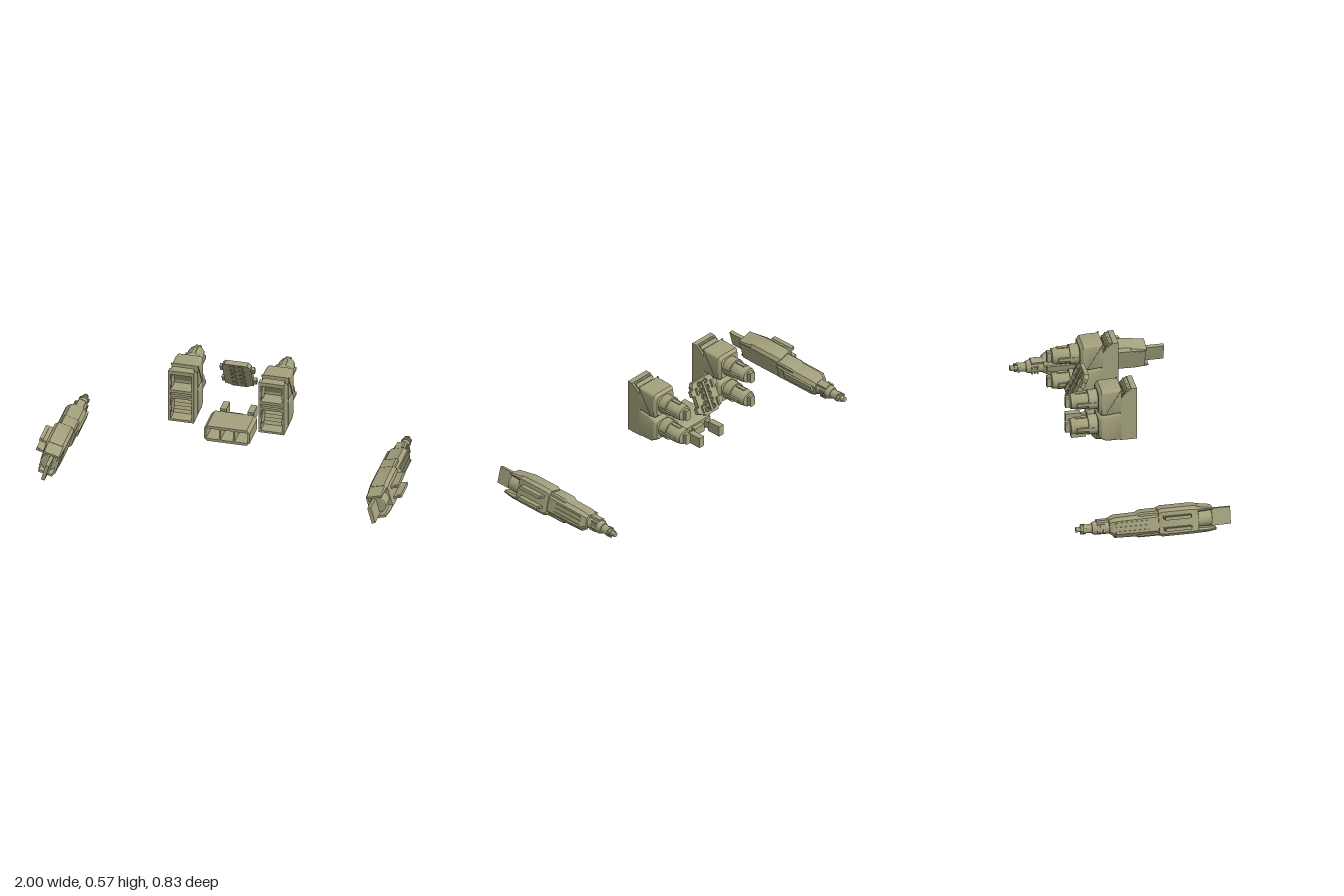
import * as THREE from 'three';
import { toCreasedNormals } from 'three/addons/utils/BufferGeometryUtils.js';

const khaki = new THREE.MeshStandardMaterial({ color: 0xa3a17c });
khaki.name = 'khaki';

function add(parent, name, geo, x = 0, y = 0, z = 0) {
  const m = new THREE.Mesh(geo, khaki);
  m.name = name;
  m.position.set(x, y, z);
  parent.add(m);
  return m;
}
function group(parent, name, x = 0, y = 0, z = 0) {
  const g = new THREE.Group();
  g.name = name;
  g.position.set(x, y, z);
  parent.add(g);
  return g;
}
const box = (w, h, d) => new THREE.BoxGeometry(w, h, d);

// Solid through rounded rectangles; rows run front to back: [z, x0, x1, y0, y1, corner]
function loft(rows, seg = 1) {
  const rings = rows.map(([z, xa, xb, y0, y1, c]) => {
    const x0 = Math.min(xa, xb), x1 = Math.max(xa, xb), ring = [];
    [[x1 - c, y0 + c, -90], [x1 - c, y1 - c, 0], [x0 + c, y1 - c, 90], [x0 + c, y0 + c, 180]].forEach(([cx, cy, a]) => {
      for (let i = 0; i <= seg; i++) {
        const t = (a + 90 * i / seg) * Math.PI / 180;
        ring.push([cx + c * Math.cos(t), cy + c * Math.sin(t), z]);
      }
    });
    ring.mid = [(x0 + x1) / 2, (y0 + y1) / 2, z];
    return ring;
  });
  const p = [], n = rings[0].length, last = rings[rings.length - 1];
  for (let j = 0; j < n; j++) {
    const k = (j + 1) % n;
    p.push(...rings[0].mid, ...rings[0][j], ...rings[0][k], ...last.mid, ...last[k], ...last[j]);
    for (let i = 0; i + 1 < rings.length; i++) {
      const a = rings[i], b = rings[i + 1];
      p.push(...a[j], ...b[j], ...b[k], ...a[j], ...b[k], ...a[k]);
    }
  }
  const g = new THREE.BufferGeometry();
  g.setAttribute('position', new THREE.Float32BufferAttribute(p, 3));
  return toCreasedNormals(g, 0.6);
}

// Round part along -z from [z, radius] points, closed at both ends
function turned(points, sides = 24) {
  const pts = [[points[0][0], 0], ...points, [points[points.length - 1][0], 0]];
  const g = new THREE.LatheGeometry(pts.map(([z, r]) => new THREE.Vector2(r, -z)), sides);
  g.rotateX(-Math.PI / 2);
  return toCreasedNormals(g, 0.5);
}

// Outline extruded along z, from z0 to z0 + depth
function slab(outline, holes, z0, depth) {
  const s = new THREE.Shape(outline.map(([x, y]) => new THREE.Vector2(x, y)));
  s.holes = holes;
  const g = new THREE.ExtrudeGeometry(s, { depth, bevelEnabled: false, curveSegments: 12 });
  g.translate(0, 0, z0);
  return g;
}
const rectPath = (x0, x1, y0, y1) => new THREE.Path([[x0, y0], [x0, y1], [x1, y1], [x1, y0]].map(([x, y]) => new THREE.Vector2(x, y)));

function thruster(parent, y) {
  const g = group(parent, 'thruster', 0, y, 0);
  add(g, 'nozzle', turned([[-0.16, 0.054], [-0.225, 0.054], [-0.226, 0.046], [-0.29, 0.046], [-0.297, 0.043], [-0.318, 0.041], [-0.322, 0.034]]));
  add(g, 'nozzleTip', loft([[-0.315, -0.018, 0.018, -0.031, 0.031, 0.006], [-0.345, -0.018, 0.018, -0.031, 0.031, 0.006]]));
  for (const s of [-1, 1]) {
    add(g, 'nozzleRail', box(0.014, 0.018, 0.105), s * 0.049, -0.002, -0.237);
    add(g, 'nozzleRib', box(0.02, 0.01, 0.06), 0, s * 0.045, -0.26);
  }
}

function pod(parent, s) {
  const g = group(parent, 'thrusterPod', s * 0.247, 0, 0);
  // Side walls
  const wall = [[-0.03, 0.266], [0.06, 0.266], [0.06, 0.51], [0.035, 0.545], [0.0, 0.572], [-0.03, 0.572]];
  for (const k of [-1, 1]) {
    const geo = slab(wall, [], -0.006, 0.012);
    geo.rotateY(Math.PI / 2);
    add(g, 'sideWall', geo, k * 0.064, 0, 0);
    for (const y of [0.34, 0.495]) {
      const disc = add(g, 'wallDisc', new THREE.CylinderGeometry(0.038, 0.038, 0.006, 24), k * 0.057, y, -0.012);
      disc.rotation.z = Math.PI / 2;
    }
  }
  // Cross members of the intake frame
  for (const [y, h] of [[0.272, 0.012], [0.412, 0.014], [0.448, 0.016]]) add(g, 'crossMember', box(0.128, h, 0.09), 0, y, -0.015);
  add(g, 'middlePanel', box(0.128, 0.04, 0.07), 0, 0.428, -0.02);
  add(g, 'topBar', box(0.128, 0.022, 0.03), 0, 0.561, 0.015);
  // Lower louvres and sloping wall of the upper intake
  for (let i = 0; i < 6; i++) {
    const slat = add(g, 'louvre', box(0.118, 0.024, 0.006), 0, 0.29 + i * 0.021, -0.044);
    slat.rotation.x = -0.5;
  }
  add(g, 'intakeBack', box(0.12, 0.13, 0.012), 0, 0.51, -0.042).rotation.x = 0.42;
  for (let i = 0; i < 4; i++) add(g, 'topSlat', box(0.116, 0.006, 0.01), 0, 0.566 - i * 0.009, -0.006 - i * 0.013);
  // Rear housings
  add(g, 'upperHousing', loft([[-0.053, -0.072, 0.072, 0.43, 0.571, 0.012], [-0.125, -0.073, 0.073, 0.421, 0.571, 0.015],
    [-0.16, -0.073, 0.073, 0.421, 0.569, 0.02], [-0.176, -0.062, 0.062, 0.435, 0.555, 0.02]], 4));
  add(g, 'lowerHousing', loft([[-0.053, -0.072, 0.072, 0.266, 0.431, 0.012], [-0.135, -0.073, 0.073, 0.266, 0.417, 0.015],
    [-0.16, -0.073, 0.073, 0.277, 0.412, 0.02], [-0.176, -0.062, 0.062, 0.288, 0.4, 0.02]], 4));
  for (const k of [-1, 1]) add(g, 'hingeStrip', box(0.004, 0.168, 0.006), k * 0.073, 0.5, -0.094).rotation.x = 0.54;
  thruster(g, 0.493);
  thruster(g, 0.342);
}

function launcher(parent) {
  const g = group(parent, 'launcherRack', 0, 0.448, -0.232);
  g.rotation.x = 0.45;
  const half = [[0.045, -0.098], [0.05, -0.088], [0.078, -0.08], [0.078, 0.078], [0.062, 0.098]];
  const outline = [...half, ...half.map(([x, y]) => [-x, y]).reverse()];
  const holes = [];
  for (let i = 0; i < 5; i++) for (const s of [-1, 1]) {
    const y = -0.07 + i * 0.036, x = s * 0.023;
    holes.push(new THREE.Path().absarc(x, y, 0.013, 0, Math.PI * 2, true));
    add(g, 'tubeRim', new THREE.TorusGeometry(0.014, 0.003, 6, 18), x, y, 0.014);
    add(g, 'warhead', new THREE.SphereGeometry(0.0115, 14, 10), x, y, 0.003);
    add(g, 'rearRim', new THREE.TorusGeometry(0.013, 0.003, 6, 18), x, y, -0.014);
  }
  add(g, 'rackPlate', slab(outline, holes, -0.014, 0.028));
  for (const s of [-1, 1]) for (const y of [-0.055, 0.045]) {
    add(g, 'sideLug', box(0.022, 0.034, 0.022), s * 0.084, y, -0.003);
    add(g, 'rearBracket', box(0.012, 0.04, 0.014), s * 0.056, y, -0.019);
  }
  add(g, 'rearSpine', box(0.014, 0.17, 0.01), 0, 0, -0.017);
}

function tray(parent) {
  const g = group(parent, 'lowerTray');
  const outline = [[-0.108, 0.163], [0.108, 0.163], [0.125, 0.18], [0.125, 0.238], [0.108, 0.255], [-0.108, 0.255], [-0.125, 0.238], [-0.125, 0.18]];
  const holes = [[-0.113, -0.042], [-0.034, 0.034], [0.042, 0.113]].map(([a, b]) => rectPath(a, b, 0.178, 0.24));
  add(g, 'trayShell', slab(outline, holes, -0.13, 0.148));
  add(g, 'trayRear', loft([[-0.128, -0.125, 0.125, 0.163, 0.255, 0.017], [-0.15, -0.123, 0.123, 0.165, 0.253, 0.017],
    [-0.168, -0.108, 0.108, 0.178, 0.24, 0.015]]));
  add(g, 'rearBlock', box(0.07, 0.045, 0.03), 0, 0.207, -0.178);
  for (const s of [-1, 1]) {
    add(g, 'armRoot', box(0.024, 0.04, 0.05), s * 0.075, 0.207, -0.185);
    add(g, 'arm', box(0.034, 0.06, 0.08), s * 0.075, 0.208, -0.24);
  }
}

function gun(parent, s) {
  const g = group(parent, s > 0 ? 'leftGun' : 'rightGun', s * 0.89, 0.085, 0);
  g.rotation.z = s * 0.27;
  const part = (name, w, h, d, x, y, z) => add(g, name, box(w, h, d), s * x, y, z);
  // Main sleeve with hood, floor and inner cheek at the front
  add(g, 'sleeve', loft([[0.235, -0.045, 0.06, -0.076, 0.07, 0.016], [0.205, -0.046, 0.062, -0.076, 0.076, 0.016],
    [0.04, -0.046, 0.062, -0.076, 0.076, 0.016], [0.022, -0.042, 0.056, -0.07, 0.068, 0.016]].map(([z, a, b, ...r]) => [z, s * a, s * b, ...r])));
  add(g, 'hood', loft([[0.318, -s * 0.04, s * 0.05, 0.044, 0.054, 0.004], [0.275, -s * 0.042, s * 0.054, 0.042, 0.061, 0.007],
    [0.23, -s * 0.044, s * 0.058, 0.04, 0.069, 0.01]]));
  add(g, 'floorPlate', loft([[0.332, -s * 0.035, s * 0.045, -0.069, -0.055, 0.004], [0.275, -s * 0.042, s * 0.055, -0.075, -0.05, 0.01],
    [0.23, -s * 0.044, s * 0.058, -0.075, -0.045, 0.012]]));
  part('innerCheek', 0.012, 0.11, 0.085, -0.038, -0.005, 0.268);
  add(g, 'frontDrum', turned([[0.313, 0.04], [0.31, 0.045], [0.2, 0.045]]), s * 0.008, -0.004, 0);
  part('frontBlade', 0.02, 0.093, 0.15, 0, -0.006, 0.342);
  // Outer rails
  for (const y of [0.032, -0.03]) {
    part('railBase', 0.035, 0.012, 0.15, 0.073, y, 0.12);
    part('rail', 0.02, 0.017, 0.14, 0.093, y, 0.12);
  }
  // Rear body
  add(g, 'rearBody', loft([[0.03, -0.058, 0.05, -0.06, 0.052, 0.018], [-0.21, -0.058, 0.05, -0.058, 0.048, 0.018],
    [-0.24, -0.05, 0.034, -0.04, 0.036, 0.015]].map(([z, a, b, ...r]) => [z, s * a, s * b, ...r])));
  add(g, 'topSlab', loft([[0.03, -s * 0.05, s * 0.04, 0.03, 0.062, 0.008], [-0.07, -s * 0.05, s * 0.04, 0.03, 0.062, 0.008],
    [-0.095, -s * 0.045, s * 0.035, 0.03, 0.048, 0.006]]));
  add(g, 'keel', loft([[0.03, -s * 0.035, s * 0.035, -0.073, -0.045, 0.008], [-0.085, -s * 0.035, s * 0.035, -0.073, -0.045, 0.008],
    [-0.1, -s * 0.028, s * 0.028, -0.067, -0.045, 0.006], [-0.215, -s * 0.025, s * 0.025, -0.065, -0.045, 0.006]]));
  for (const y of [-0.03, -0.006, 0.018]) part('bodyRib', 0.006, 0.009, 0.18, 0.051, y, -0.12);
  part('innerFin', 0.014, 0.04, 0.2, -0.061, 0.01, -0.125);
  // Stepped barrel with vents and muzzle
  const b = group(g, 'barrel', -s * 0.012, -0.008, 0);
  add(b, 'barrelBody', turned([[-0.22, 0.037], [-0.315, 0.036], [-0.33, 0.03], [-0.331, 0.025], [-0.362, 0.023], [-0.363, 0.027],
    [-0.376, 0.027], [-0.377, 0.022], [-0.392, 0.02], [-0.393, 0.014], [-0.404, 0.012], [-0.405, 0.015], [-0.416, 0.014]], 20));
  for (let i = 0; i < 3; i++) for (const k of [-1, 1]) add(b, 'vent', box(0.008, 0.05, 0.008), k * 0.034, 0, -0.27 - i * 0.015);
  add(b, 'barrelShroud', box(0.04, 0.016, 0.075), 0, 0.034, -0.267);
  for (let i = 0; i < 4; i++) {
    const a = i * Math.PI / 2;
    add(b, 'muzzleLug', box(0.01, 0.01, 0.022), Math.cos(a) * 0.023, Math.sin(a) * 0.023, -0.38);
  }
}

export function createModel() {
  const model = new THREE.Group();
  model.name = 'equipmentSet';
  for (const s of [-1, 1]) {
    pod(model, s);
    gun(model, s);
  }
  launcher(model);
  tray(model);
  return model;
}
